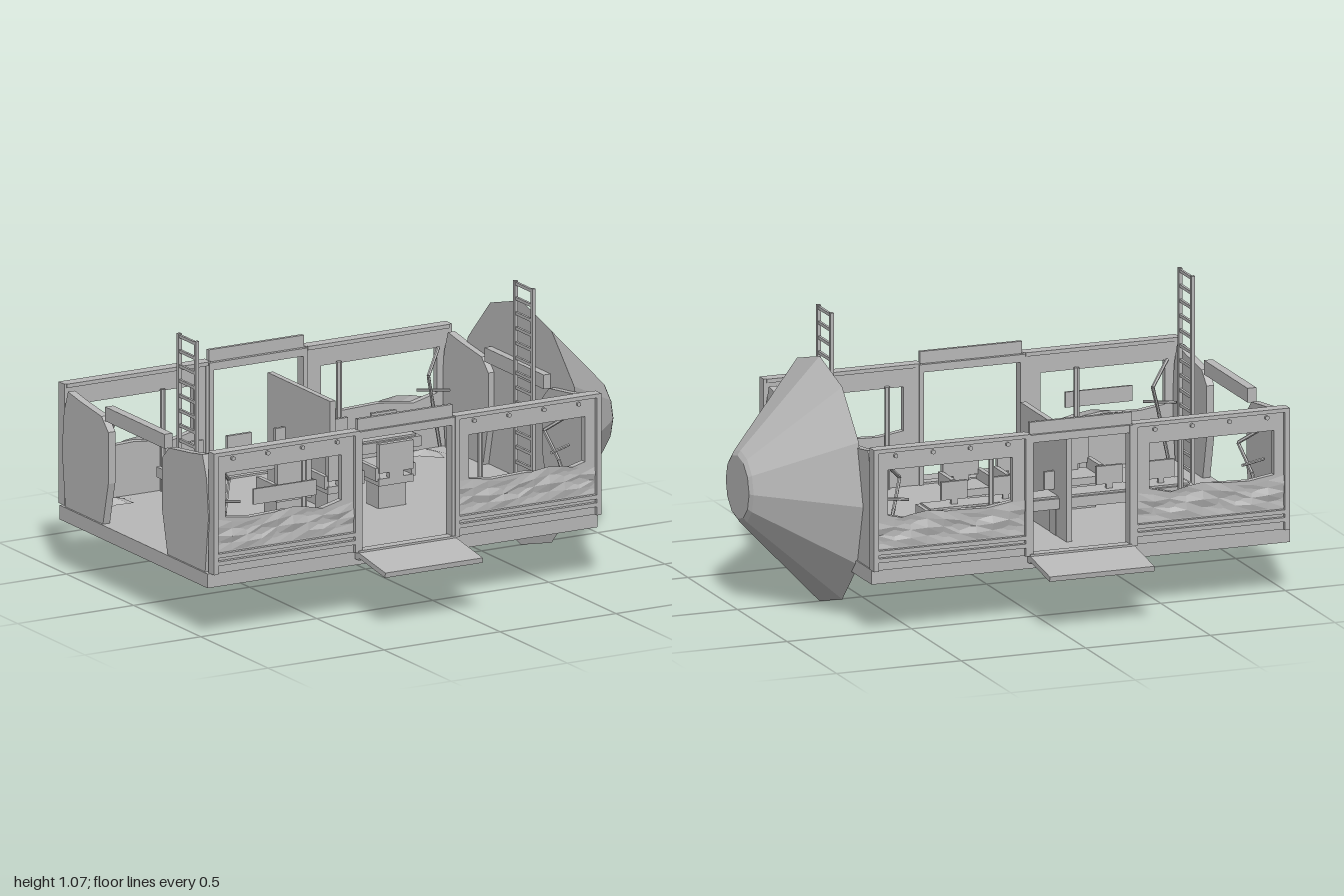
import * as THREE from 'three';

export function createModel() {
  const root = new THREE.Group();
  root.name = 'mobileCabin';
  const grey = new THREE.MeshStandardMaterial({ color: 0xb8b8b8, flatShading: true, side: THREE.DoubleSide });
  grey.name = 'plainGrey';

  const add = (name, geo, parent = root) => {
    const m = new THREE.Mesh(geo, grey);
    m.name = name;
    parent.add(m);
    return m;
  };
  // Box given by its minimum and maximum on each axis
  const box = (name, x0, x1, y0, y1, z0, z1, parent) => {
    const m = add(name, new THREE.BoxGeometry(x1 - x0, y1 - y0, z1 - z0), parent);
    m.position.set((x0 + x1) / 2, (y0 + y1) / 2, (z0 + z1) / 2);
    return m;
  };
  // Box mirrored in z by the sign s
  const sideBox = (name, x0, x1, y0, y1, z0, z1, s, parent) =>
    box(name, x0, x1, y0, y1, s > 0 ? z0 : -z1, s > 0 ? z1 : -z0, parent);
  // Round bar between two points
  const bar = (name, a, b, r, parent) => {
    const p = new THREE.Vector3(...a), q = new THREE.Vector3(...b);
    const m = add(name, new THREE.CylinderGeometry(r, r, p.distanceTo(q), 6), parent);
    m.position.copy(p).lerp(q, 0.5);
    m.quaternion.setFromUnitVectors(new THREE.Vector3(0, 1, 0), q.sub(p).normalize());
    return m;
  };
  const polygon = (pts) => new THREE.Shape(pts.map(([x, y]) => new THREE.Vector2(x, y)));

  // Floor slab
  box('floor', -1, 0.68, 0.2, 0.255, -0.55, 0.55);

  // Twelve-sided nose cone
  const cone = add('noseCone', new THREE.LatheGeometry(
    [[0, 0], [0.473, 0], [0.14, 0.318], [0.122, 0.33], [0, 0.33]].map(([r, h]) => new THREE.Vector2(r, h)), 12));
  cone.rotation.z = -Math.PI / 2;
  cone.scale.z = 0.965;
  cone.position.set(0.67, 0.473, 0);

  // Loose cloth along the lower part of a wall
  const drape = (x0, x1, s, parent) => {
    const g = new THREE.PlaneGeometry(x1 - x0, 1, 9, 4);
    const p = g.attributes.position;
    for (let i = 0; i < p.count; i++) {
      const x = p.getX(i) + (x0 + x1) / 2, t = p.getY(i) + 0.5;
      const top = 0.455 + 0.015 * Math.sin(x * 17);
      p.setXYZ(i, x, 0.34 + t * (top - 0.34),
        s * (0.566 + 0.008 * Math.sin(x * 23 + t * 7) * Math.sin(t * Math.PI)));
    }
    add('wallCloth', g, parent);
  };

  for (const s of [1, -1]) {
    const side = new THREE.Group();
    side.name = s > 0 ? 'frontSide' : 'backSide';
    root.add(side);

    for (const [x0, x1, w0, w1] of [[-0.98, -0.37, -0.93, -0.53 + 0.1], [0.06, 0.67, 0.12, 0.62]]) {
      // Wall with a window opening
      const shape = polygon([[x0, 0.255], [x1, 0.255], [x1, 0.725], [x0, 0.725]]);
      const sag = (w0 + w1) / 2;
      shape.holes.push(polygon([[w0, 0.64], [w0, 0.47], [w0 + 0.1, 0.455], [sag, 0.46], [w1 - 0.1, 0.44], [w1, 0.465], [w1, 0.64]]));
      const wall = add('wall', new THREE.ExtrudeGeometry(shape, { depth: 0.025, bevelEnabled: false }), side);
      wall.position.z = s * 0.55 - 0.0125;
      drape(x0 + 0.01, x1 - 0.01, s, side);
      // Outer rails, top cap and end posts
      sideBox('lowerRail', x0, x1, 0.288, 0.304, 0.56, 0.578, s, side);
      sideBox('upperRail', x0, x1, 0.318, 0.334, 0.56, 0.578, s, side);
      sideBox('topCap', x0, x1, 0.71, 0.725, 0.53, 0.578, s, side);
      for (const x of [x0, x1]) sideBox('wallPost', x - 0.008, x + 0.012, 0.255, 0.725, 0.535, 0.578, s, side);
      // Bolts
      for (let i = 0; i < 4; i++) {
        const x = x0 + 0.08 + i * 0.15;
        bar('bolt', [x, 0.693, s * 0.56], [x, 0.693, s * 0.572], 0.009, side);
      }
    }
    // Inner poles
    for (const x of [-0.57, 0.19]) bar('windowPole', [x, 0.255, s * 0.525], [x, 0.65, s * 0.525], 0.011, side);

    // Doorway: frame, header and sill
    for (const x of [-0.365, 0.04]) sideBox('doorPost', x, x + 0.018, 0.255, 0.72, 0.53, 0.575, s, side);
    sideBox('doorHeader', -0.36, 0.05, 0.69, 0.72, 0.53, 0.572, s, side);
    sideBox('headerPlate', -0.36, 0.05, 0.715, 0.767, 0.545, 0.56, s, side);
    sideBox('doorSill', -0.365, 0.055, 0.225, 0.262, 0.54, 0.58, s, side);

    // Sloping ramp
    const ramp = box('ramp', -0.365, 0.055, -0.01, 0.01, -0.116, 0.116, side);
    ramp.position.set(-0.155, 0.232, s * 0.661);
    ramp.rotation.x = s * 0.15;

    for (const [e, xe] of [[-1, -0.978], [1, 0.66]]) {
      // Bulging end panel
      const panel = add('endPanel', new THREE.ExtrudeGeometry(polygon([
        [0.24, 0.255], [0.2, 0.42], [0.2, 0.62], [0.25, 0.67], [0.41, 0.69], [0.5, 0.705],
        [0.53, 0.62], [0.545, 0.47], [0.52, 0.255]].map(([z, y]) => [s * z, y])),
        { depth: 0.03, bevelEnabled: false }), side);
      panel.rotation.y = -Math.PI / 2;
      panel.position.x = xe + 0.015;

      // Bent corner braces
      const bx = xe - e * 0.05;
      bar('cornerBrace', [bx, 0.65, s * 0.51], [bx - e * 0.09, 0.57, s * 0.43], 0.007, side);
      bar('cornerBrace', [bx - e * 0.09, 0.57, s * 0.43], [bx - e * 0.05, 0.46, s * 0.47], 0.007, side);
      bar('cornerBrace', [bx - e * 0.05, 0.46, s * 0.47], [bx, 0.27, s * 0.5], 0.007, side);
      bar('cornerBrace', [bx + e * 0.01, 0.5, s * 0.44], [bx - e * 0.1, 0.5, s * 0.5], 0.006, side);

      // Crumpled cloth on the floor
      const heap = new THREE.CircleGeometry(0.1, 9);
      heap.rotateX(-Math.PI / 2);
      const p = heap.attributes.position;
      for (let i = 0; i < p.count; i++) {
        const k = i === 0 ? 1 : 0.8 + 0.3 * Math.sin(i * 2.4);
        p.setXYZ(i, p.getX(i) * k, i === 0 ? 0.03 : 0.008 + 0.008 * Math.sin(i * 4), p.getZ(i) * k * 0.65);
      }
      const cloth = add('floorCloth', heap, side);
      cloth.position.set(xe - e * 0.15, 0.258, s * 0.44);
      cloth.rotation.y = e * s * 0.35;
    }
  }

  // Beams across both ends and a plate in the front window
  box('endBeam', -0.995, -0.96, 0.66, 0.715, -0.22, 0.22);
  box('endBeam', 0.64, 0.67, 0.66, 0.715, -0.22, 0.22);
  box('windowPlate', -0.8, -0.53, 0.495, 0.555, 0.538, 0.548);

  // Ladders
  for (const x of [-0.88, 0.57]) {
    const ladder = new THREE.Group();
    ladder.name = 'ladder';
    root.add(ladder);
    for (const z of [0.133, 0.262]) box('ladderRail', x - 0.007, x + 0.007, 0.255, 1.07, z - 0.007, z + 0.007, ladder);
    for (let i = 0; i < 14; i++) {
      const y = 1.06 - i * 0.0575;
      box('rung', x - 0.005, x + 0.005, y - 0.006, y + 0.006, 0.133, 0.262, ladder);
    }
  }

  // Partition wall
  box('partition', -0.17, -0.147, 0.255, 0.68, -0.435, 0.03);

  // Long desk with five screens
  box('deskTop', -0.69, 0.38, 0.365, 0.405, -0.365, -0.24);
  box('deskInset', -0.675, 0.365, 0.405, 0.412, -0.352, -0.253);
  for (const x of [-0.65, -0.16, 0.34]) box('deskLeg', x - 0.015, x + 0.015, 0.255, 0.37, -0.33, -0.27);
  for (let i = 0; i < 5; i++) {
    const x = -0.575 + i * 0.2075;
    box('screen', x - 0.053, x + 0.053, 0.43, 0.5, -0.317, -0.303);
    box('screenStand', x - 0.012, x + 0.012, 0.405, 0.435, -0.317, -0.303);
  }

  // Three chairs facing the desk
  for (const x of [-0.377, -0.157, 0.063]) {
    const chair = new THREE.Group();
    chair.name = 'chair';
    chair.position.x = x;
    root.add(chair);
    box('chairBase', -0.06, 0.06, 0.255, 0.35, 0, 0.09, chair);
    box('seat', -0.075, 0.075, 0.35, 0.378, -0.02, 0.12, chair);
    box('chairBack', -0.073, 0.073, 0.4, 0.512, 0.1, 0.122, chair);
    box('backSupport', -0.03, 0.03, 0.37, 0.41, 0.1, 0.12, chair);
    for (const s of [-1, 1]) box('armrest', s * 0.077 - 0.009, s * 0.077 + 0.009, 0.37, 0.42, -0.015, 0.115, chair);
  }
  return root;
}
